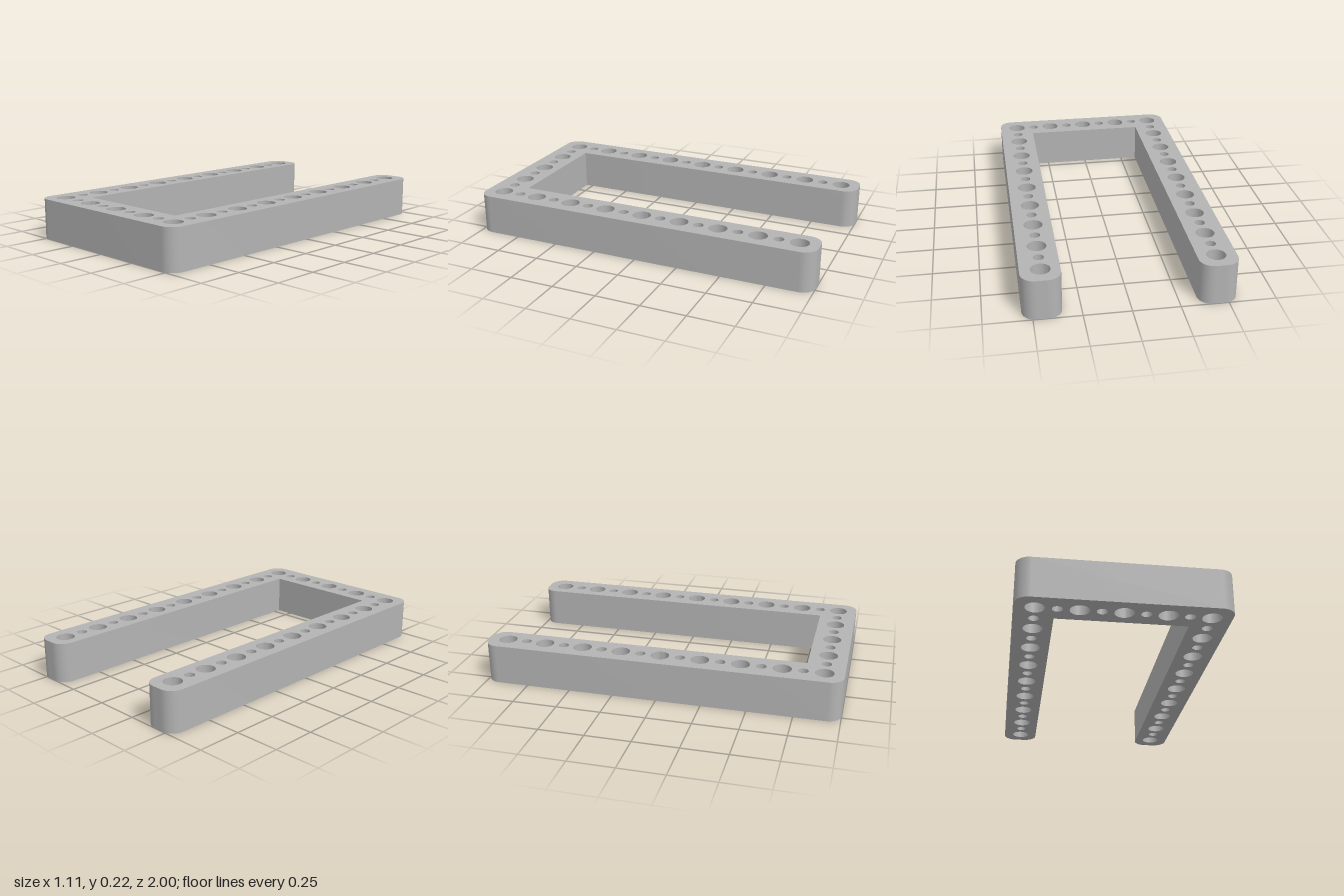
import * as THREE from 'three';
import { toCreasedNormals } from 'three/addons/utils/BufferGeometryUtils.js';

const HALF = 0.553, INNER = 0.347, BAR = 0.792, HEIGHT = 0.225;
const RADIUS = 0.075, PITCH = 0.2235, BIG = 0.051, SMALL = 0.028;

// U outline in plan; shape y is -z, so the cross bar lies at negative y
function outline() {
  const s = new THREE.Shape(), r = RADIUS, q = Math.PI / 2;
  const corner = (x, y, start) => s.absarc(x, y, r, start, start + q, false);
  corner(-HALF + r, -1 + r, 2 * q);
  corner(HALF - r, -1 + r, 3 * q);
  corner(HALF - r, 1 - r, 0);
  corner(INNER + r, 1 - r, q);
  s.lineTo(INNER, -BAR);
  s.lineTo(-INNER, -BAR);
  corner(-INNER - r, 1 - r, 0);
  corner(-HALF + r, 1 - r, q);
  s.closePath();
  return s;
}

export function createModel() {
  const group = new THREE.Group();
  const grey = new THREE.MeshStandardMaterial({ color: 0xb3b3b3 });
  grey.name = 'grey plastic';

  // Alternating large and small through holes along both arms and the bar
  const shape = outline();
  const drill = (x, y, r) => {
    const hole = new THREE.Path();
    hole.absarc(x, y, r, 0, Math.PI * 2, true);
    shape.holes.push(hole);
  };
  const radius = (i) => (i % 2 ? SMALL : BIG);
  for (let i = 0; i <= 16; i++)
    for (const side of [-1, 1])
      drill(side * 2 * PITCH, -4 * PITCH + (i * PITCH) / 2, radius(i));
  for (let i = 1; i < 8; i++)
    drill(-2 * PITCH + (i * PITCH) / 2, -4 * PITCH, radius(i));

  const solid = new THREE.ExtrudeGeometry(shape, {
    depth: HEIGHT, bevelEnabled: false, curveSegments: 16,
  });
  solid.rotateX(-Math.PI / 2);
  const frame = new THREE.Mesh(toCreasedNormals(solid, Math.PI / 6), grey);
  frame.name = 'perforatedFrame';
  group.add(frame);
  return group;
}
